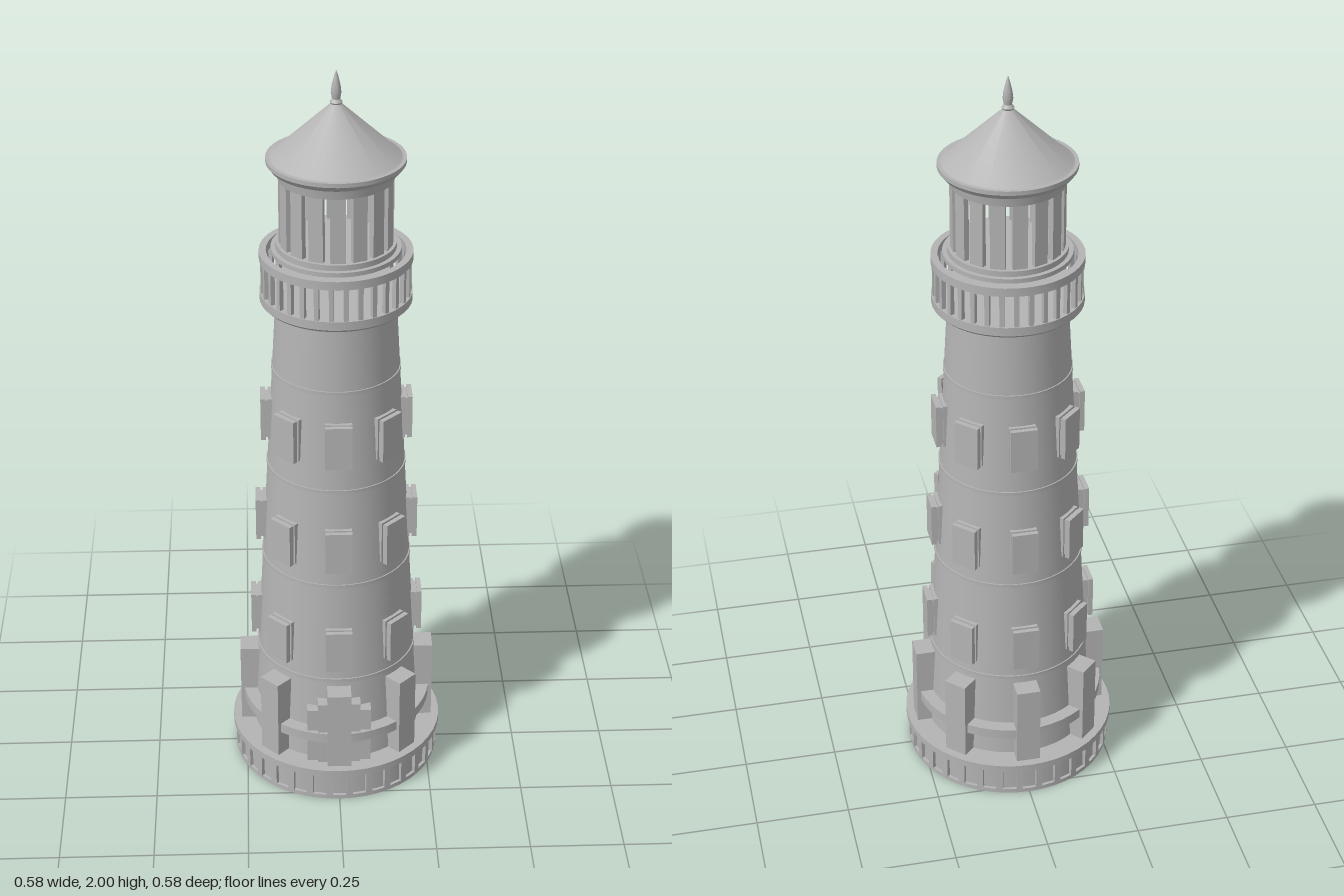
import * as THREE from 'three';
import { toCreasedNormals } from 'three/addons/utils/BufferGeometryUtils.js';

const stone = new THREE.MeshStandardMaterial({ color: 0xb4b4b4 });
stone.name = 'pale grey stone';
const SEG = 48;

// Tower radius at a given height
const towerRadius = (y) => 0.228 - 0.0568 * (y - 0.1);

export function createModel() {
  const model = new THREE.Group();
  model.name = 'lighthouse';

  const add = (parent, name, geometry) => {
    const mesh = new THREE.Mesh(geometry, stone);
    mesh.name = name;
    parent.add(mesh);
    return mesh;
  };
  // Turned solid from [radius, height] pairs, listed from bottom to top
  const turned = (name, profile) => {
    const points = profile.map(([r, y]) => new THREE.Vector2(r, y));
    return add(model, name, toCreasedNormals(new THREE.LatheGeometry(points, SEG), 0.4));
  };
  const disc = (name, r, y0, y1) => turned(name, [[0, y0], [r, y0], [r, y1], [0, y1]]);
  const ring = (name, inner, outer, y0, y1) =>
    turned(name, [[outer, y0], [outer, y1], [inner, y1], [inner, y0], [outer, y0]]);
  // Box reaching from radius r0 to r1, standing from y0 to y1
  const radialBox = (parent, name, width, r0, r1, y0, y1) => {
    const mesh = add(parent, name, new THREE.BoxGeometry(width, y1 - y0, r1 - r0));
    mesh.position.set(0, (y0 + y1) / 2, (r0 + r1) / 2);
    return mesh;
  };
  // Repeat a part around the axis
  const around = (name, count, offset, build) => {
    for (let i = 0; i < count; i++) {
      const group = new THREE.Group();
      group.name = name;
      group.rotation.y = ((i + offset) / count) * Math.PI * 2;
      build(group);
      model.add(group);
    }
  };

  // Ribbed plinth
  disc('plinthCore', 0.272, 0, 0.085);
  ring('plinthFoot', 0.26, 0.28, 0, 0.012);
  disc('plinthCap', 0.288, 0.08, 0.1);
  around('plinthRib', 32, 0.5, (g) => radialBox(g, 'rib', 0.018, 0.262, 0.281, 0.008, 0.082));

  // Tapering tower with thin course rings
  turned('tower', [[towerRadius(0.1), 0.1], [towerRadius(1.385), 1.385]]);
  for (const y of [0.35, 0.64, 0.92, 1.2]) {
    const r = towerRadius(y);
    ring('courseRing', r - 0.01, r + 0.003, y - 0.006, y + 0.004);
  }
  ring('towerCollar', 0.14, 0.162, 1.37, 1.39);

  // Buttresses joined by a belt
  ring('buttressBelt', 0.2, 0.257, 0.172, 0.2);
  around('buttress', 8, 0, (g) => radialBox(g, 'buttressBlock', 0.064, 0.17, 0.265, 0.1, 0.33));

  // Stepped doorway on the front
  const door = new THREE.Group();
  door.name = 'doorway';
  model.add(door);
  radialBox(door, 'doorSurround', 0.172, 0.17, 0.236, 0.1, 0.265);
  radialBox(door, 'doorHead', 0.115, 0.17, 0.245, 0.1, 0.29);

  // Three rows of projecting windows
  for (const y of [0.45, 0.75, 1.055]) {
    const r = towerRadius(y);
    around('window', 8, 0, (g) => {
      radialBox(g, 'windowBody', 0.06, r - 0.03, r + 0.012, y - 0.054, y + 0.054);
      radialBox(g, 'windowBackFrame', 0.07, r - 0.03, r + 0.005, y - 0.06, y + 0.06);
      radialBox(g, 'windowFrontFrame', 0.07, r + 0.011, r + 0.024, y - 0.06, y + 0.06);
    });
  }

  // Gallery deck and railing
  turned('galleryDeck', [[0, 1.385], [0.188, 1.385], [0.195, 1.392], [0.195, 1.415], [0, 1.415]]);
  around('railingPost', 32, 0.5, (g) => radialBox(g, 'post', 0.012, 0.18, 0.192, 1.41, 1.505));
  ring('railingTop', 0.177, 0.195, 1.502, 1.525);

  // Open lantern room
  disc('lanternFloor', 0.165, 1.523, 1.535);
  disc('lanternSill', 0.153, 1.535, 1.55);
  around('lanternColumn', 16, 0, (g) => radialBox(g, 'column', 0.038, 0.13, 0.144, 1.545, 1.73));

  // Roof with flared eaves and a finial
  turned('eaves', [[0, 1.722], [0.146, 1.722], [0.15, 1.745], [0.165, 1.752],
    [0.175, 1.765], [0.175, 1.776], [0, 1.776]]);
  turned('roof', [[0.17, 1.774], [0.158, 1.779], [0.012, 1.915], [0, 1.915]]);
  turned('finial', [[0.009, 1.905], [0.016, 1.918], [0.01, 1.926], [0.013, 1.942],
    [0.011, 1.96], [0.005, 1.985], [0, 2]]);

  return model;
}
